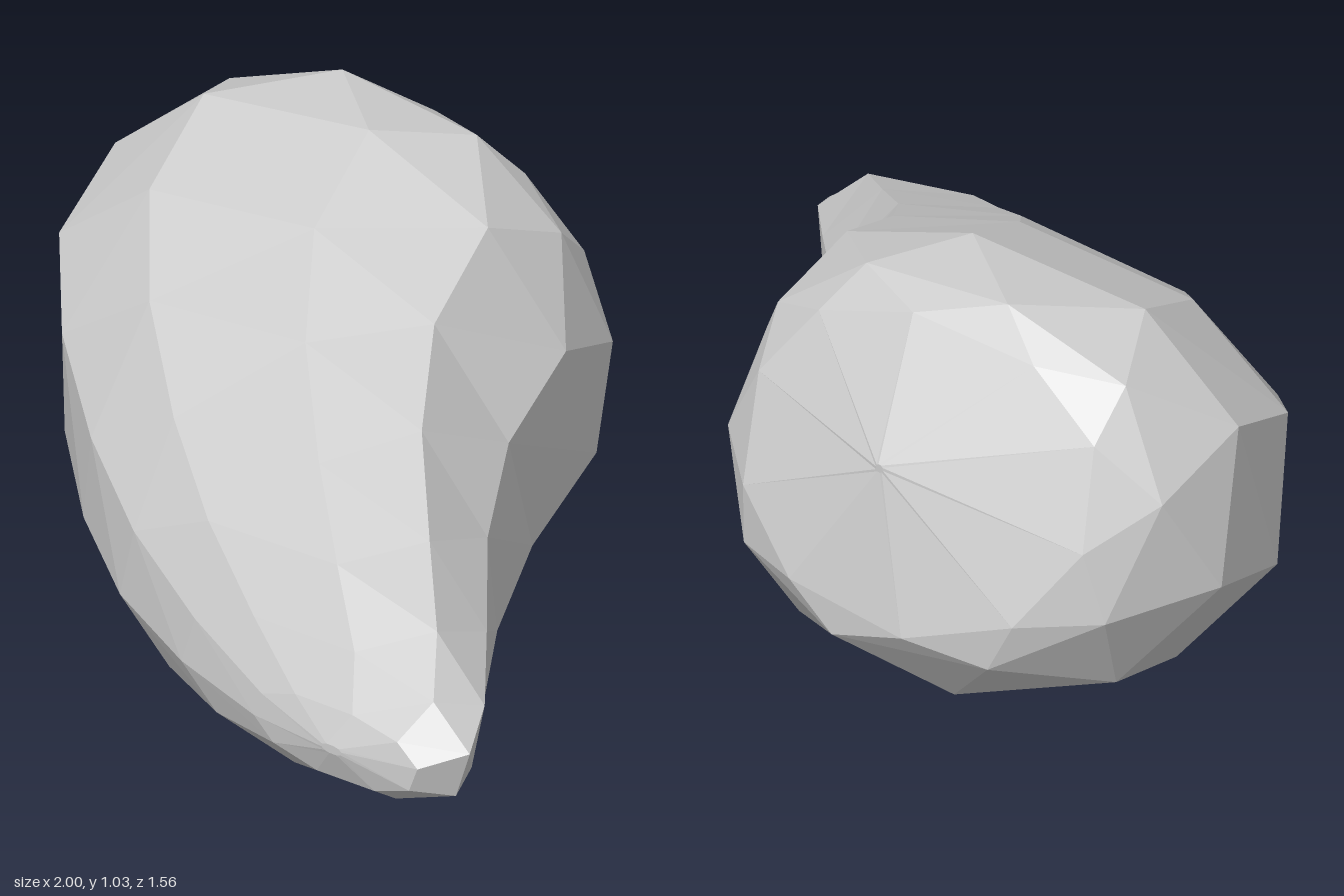
import * as THREE from 'three';

const SIDES = 10;
const FIRST_ANGLE = 9; // degrees; puts a corner close to each axis of the oval

// Cross-sections from the broad back end to the narrow front tip.
// x: right and left edge, y: bottom, widest level and top, z: at bottom and top.
// turn staggers the corners of the back sections.
const SECTIONS = [
  { x: [-0.37, -0.35], y: [0.68, 0.69, 0.70], z: [-0.71, -0.71], turn: 36 },
  { x: [-0.84, 0.07], y: [0.335, 0.67, 0.975], z: [-0.785, -0.525], lean: 1.1, turn: 36 },
  { x: [-0.94, 0.17], y: [0.27, 0.62, 1.035], z: [-0.77, -0.46], turn: 18 },
  { x: [-1.00, 0.28], y: [0.13, 0.55, 1.035], z: [-0.63, -0.26] },
  { x: [-0.92, 0.38], y: [0.035, 0.46, 0.915], z: [-0.32, 0.0] },
  { x: [-0.72, 0.55], y: [0.003, 0.38, 0.77], z: [0.0, 0.21] },
  { x: [-0.46, 0.76], y: [0.01, 0.31, 0.62], z: [0.30, 0.40] },
  { x: [-0.18, 0.93], y: [0.025, 0.26, 0.50], z: [0.54, 0.56] },
  { x: [0.12, 1.00], y: [0.065, 0.22, 0.38], z: [0.68, 0.67] },
  { x: [0.42, 0.92], y: [0.12, 0.20, 0.28], z: [0.76, 0.75] },
  { x: [0.66, 0.72], y: [0.19, 0.20, 0.21], z: [0.785, 0.785] },
];

// Slightly squared oval, sheared backwards towards the bottom
function sectionPoints({ x, y, z, lean = 1.7, turn = 0 }) {
  const [low, mid, high] = y;
  const soften = (v) => Math.sign(v) * Math.abs(v) ** 0.88 * 1.011;
  return Array.from({ length: SIDES }, (_, j) => {
    const a = THREE.MathUtils.degToRad(FIRST_ANGLE + turn + (j * 360) / SIDES);
    const c = soften(Math.cos(a));
    const s = soften(Math.sin(a));
    const px = (x[0] + x[1]) / 2 + (c * (x[1] - x[0])) / 2;
    const py = mid + s * (s > 0 ? high - mid : mid - low);
    const drop = Math.max(0, (high - py) / (high - low));
    const shear = z[0] - z[1];
    const pz = z[1] + shear * drop ** lean - shear * 0.3 * Math.max(0, -c);
    return [px, py, pz];
  });
}

function loft(sections) {
  const positions = [];
  const index = [];
  sections.forEach((s) => sectionPoints(s).forEach((p) => positions.push(...p)));
  for (let i = 0; i < sections.length - 1; i++) {
    for (let j = 0; j < SIDES; j++) {
      const k = (j + 1) % SIDES;
      const a = i * SIDES + j, b = i * SIDES + k;
      const c = a + SIDES, d = b + SIDES;
      index.push(a, b, d, a, d, c);
    }
  }
  // Close both ends
  const last = (sections.length - 1) * SIDES;
  for (let j = 1; j < SIDES - 1; j++) {
    index.push(0, j + 1, j, last, last + j, last + j + 1);
  }
  const geometry = new THREE.BufferGeometry();
  geometry.setAttribute('position', new THREE.Float32BufferAttribute(positions, 3));
  geometry.setIndex(index);
  const flat = geometry.toNonIndexed();
  flat.computeVertexNormals();
  return flat;
}

export function createModel() {
  const group = new THREE.Group();
  group.name = 'taperedPod';
  const material = new THREE.MeshStandardMaterial({ color: 0xcccccc, flatShading: true });
  const body = new THREE.Mesh(loft(SECTIONS), material);
  body.name = 'curvedBody';
  group.add(body);
  return group;
}
